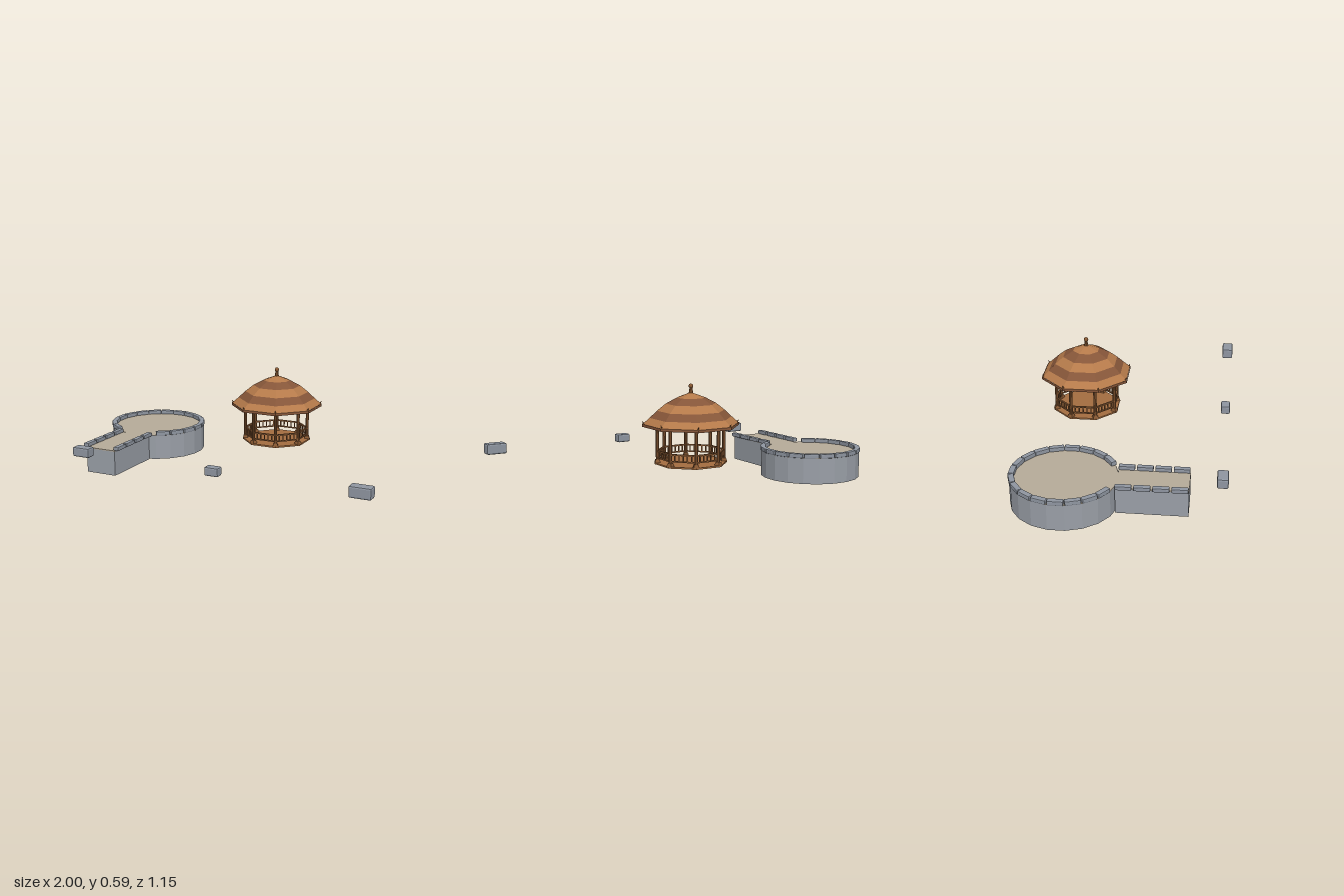
import * as THREE from 'three';
import { RoundedBoxGeometry } from 'three/addons/geometries/RoundedBoxGeometry.js';

const TAU = Math.PI * 2;

export function createModel() {
  const model = new THREE.Group();
  model.name = 'terraceAndPavilion';

  const mat = (name, color) => {
    const m = new THREE.MeshStandardMaterial({ color, side: THREE.DoubleSide });
    m.name = name;
    return m;
  };
  const wallStone = mat('wallStone', 0x9a9fa7);
  const blockStone = mat('blockStone', 0x8f96a1);
  const sand = mat('sand', 0xb6ab99);
  const roofLight = mat('roofLight', 0xb57a4a);
  const roofDark = mat('roofDark', 0x865639);
  const timber = mat('timber', 0x8a5a33);
  const deckWood = mat('deckWood', 0xa46d40);

  const add = (parent, name, geo, material, x = 0, y = 0, z = 0) => {
    const mesh = new THREE.Mesh(geo, material);
    mesh.name = name;
    mesh.position.set(x, y, z);
    parent.add(mesh);
    return mesh;
  };
  const group = (name, x, z) => {
    const g = new THREE.Group();
    g.name = name;
    g.position.set(x, 0, z);
    model.add(g);
    return g;
  };
  const flat = (geo) => {
    const g = geo.index ? geo.toNonIndexed() : geo;
    g.computeVertexNormals();
    return g;
  };
  // Faceted prism or frustum, sized by apothem, with flat sides facing the axes
  const prism = (n, top, bottom, y0, y1, open = false) => {
    const k = 1 / Math.cos(Math.PI / n);
    const g = new THREE.CylinderGeometry(top * k, bottom * k, y1 - y0, n, 1, open, Math.PI / n);
    return flat(g.translate(0, (y0 + y1) / 2, 0));
  };
  const block = (w, h, d, r = 0.005) => flat(new RoundedBoxGeometry(w, h, d, 1, r));

  // ---- Round terrace: wall, sand floor, ring of coping blocks open at the front
  const terrace = group('terrace', -0.707, -0.287);
  add(terrace, 'terraceWall', prism(20, 0.285, 0.285, 0, 0.147, true), wallStone);
  add(terrace, 'terraceFloor', prism(20, 0.283, 0.283, 0.045, 0.149), sand);
  const coping = block(0.084, 0.025, 0.032);
  for (let i = 2; i <= 18; i++) {
    const a = (i / 20) * TAU;
    const b = add(terrace, 'copingBlock', coping, blockStone,
      Math.sin(a) * 0.275, 0.16, Math.cos(a) * 0.275);
    b.rotation.y = a;
  }

  // ---- Causeway leading to the terrace, edged with blocks
  const causeway = group('causeway', -0.707, 0);
  add(causeway, 'causewayBase', new THREE.BoxGeometry(0.19, 0.143, 0.38), wallStone, 0, 0.0715, 0.179);
  add(causeway, 'causewayFloor', new THREE.BoxGeometry(0.19, 0.006, 0.38), sand, 0, 0.146, 0.179);
  const edging = block(0.032, 0.023, 0.087);
  for (const side of [-1, 1]) {
    for (let i = 0; i < 4; i++) {
      add(causeway, 'edgingBlock', edging, blockStone, side * 0.102, 0.16, 0.032 + i * 0.097);
    }
  }

  // ---- Loose stone blocks
  for (const [x, w, h, d] of [[-0.708, 0.106, 0.055, 0.06], [0.115, 0.082, 0.049, 0.053], [0.938, 0.12, 0.062, 0.065]]) {
    add(model, 'looseBlock', block(w, h, d, 0.009), blockStone, x, 0.15 + h / 2, 0.537);
  }

  // ---- Pavilion
  const pavilion = group('pavilion', 0.115, -0.283);
  add(pavilion, 'deck', prism(8, 0.186, 0.186, 0.148, 0.157), deckWood);

  // Roof tiers as [apothem, height] with alternating colours
  const tiers = [[0.245, 0.369], [0.209, 0.403], [0.172, 0.441], [0.128, 0.479], [0.072, 0.511], [0.004, 0.538]];
  for (let i = 0; i < 5; i++) {
    const [r0, y0] = tiers[i], [r1, y1] = tiers[i + 1];
    add(pavilion, 'roofTier', prism(8, r1, r0, y0, y1, true), i % 2 ? roofDark : roofLight);
  }
  add(pavilion, 'eaveTrim', prism(8, 0.247, 0.247, 0.355, 0.37, true), roofDark);

  // Finial
  add(pavilion, 'finialStem', prism(8, 0.007, 0.012, 0.53, 0.566), timber);
  add(pavilion, 'finialBall', new THREE.SphereGeometry(0.013, 10, 8), timber, 0, 0.573, 0);

  // Shared post and railing geometry
  const post = prism(8, 0.009, 0.009, 0.15, 0.362);
  const foot = prism(4, 0.011, 0.016, 0.155, 0.174);
  const capital = prism(4, 0.013, 0.01, 0.347, 0.362);
  const topRail = new THREE.BoxGeometry(0.132, 0.008, 0.01);
  const lowRail = new THREE.BoxGeometry(0.132, 0.007, 0.008);
  const baluster = new THREE.BoxGeometry(0.006, 0.036, 0.006);
  const beam = new THREE.BoxGeometry(0.141, 0.012, 0.012);
  const hipTip = flat(new THREE.ConeGeometry(0.009, 0.032, 6));

  for (let i = 0; i < 8; i++) {
    // Corner: post, foot, capital and eave tip
    const corner = new THREE.Group();
    corner.name = 'corner';
    corner.rotation.y = ((i + 0.5) / 8) * TAU;
    pavilion.add(corner);
    add(corner, 'post', post, timber, 0, 0, 0.184);
    add(corner, 'postFoot', foot, timber, 0, 0, 0.184);
    add(corner, 'postCapital', capital, timber, 0, 0, 0.184);
    add(corner, 'eaveTip', hipTip, timber, 0, 0.373, 0.259).rotation.x = 0.5;

    // Side: rails, balusters and lintel
    const side = new THREE.Group();
    side.name = 'railing';
    side.rotation.y = (i / 8) * TAU;
    pavilion.add(side);
    add(side, 'topRail', topRail, timber, 0, 0.22, 0.17);
    add(side, 'lowerRail', lowRail, timber, 0, 0.183, 0.17);
    add(side, 'lintel', beam, timber, 0, 0.358, 0.17);
    for (let j = 0; j < 5; j++) {
      add(side, 'baluster', baluster, timber, (j - 2) * 0.023, 0.201, 0.17);
    }
  }
  return model;
}
